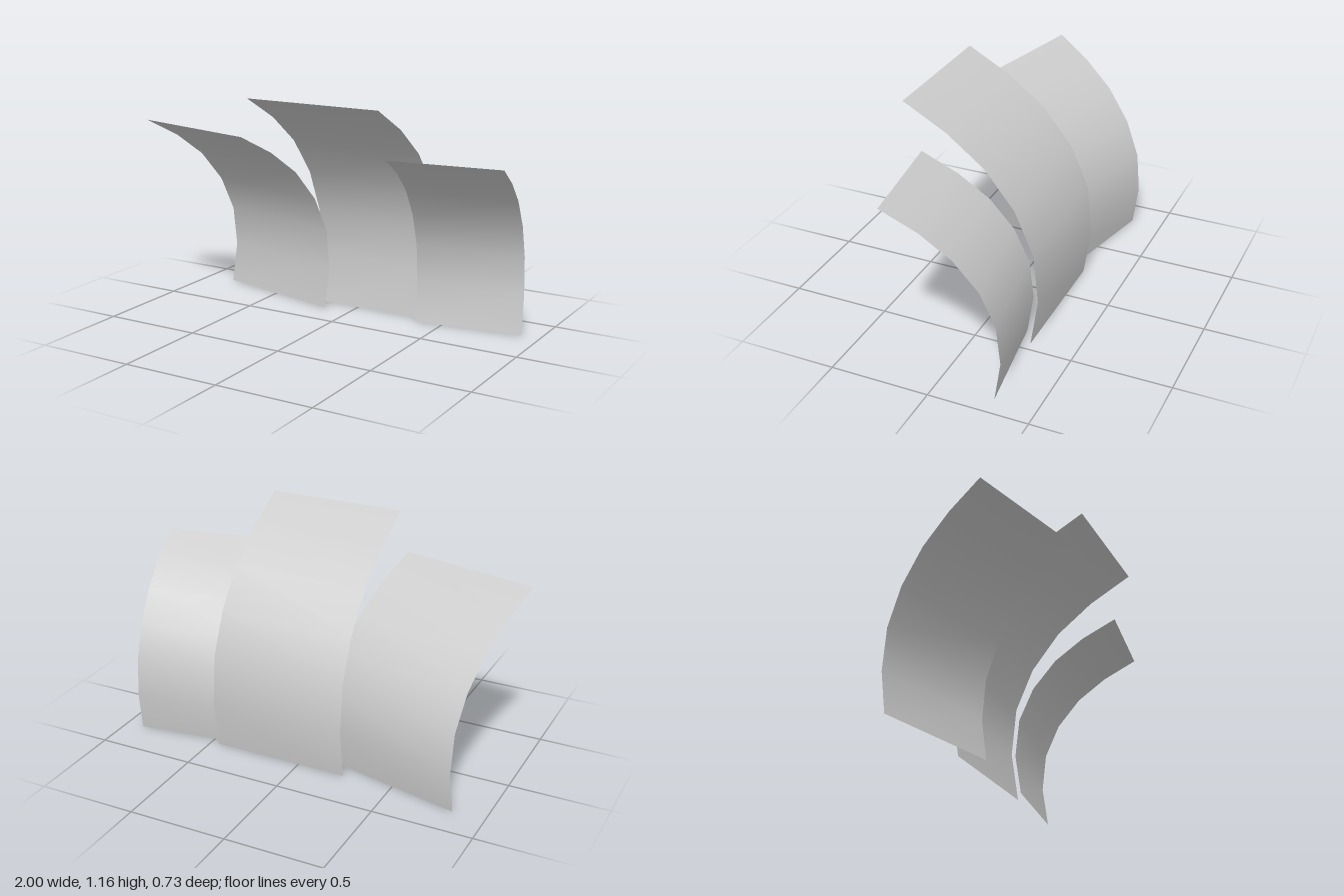
import * as THREE from 'three';

// Shared curl profile, bottom to top: [forward fraction, height fraction]
const PROFILE = [[0.055, 0], [0, 0.216], [0.037, 0.428], [0.176, 0.613], [0.398, 0.773], [0.676, 0.897], [1, 1]];

// Curled sheet: base is its rear left corner, width and depth are plan vectors [x, z]
function curvedPanel(name, base, width, depth, height, material) {
  const rows = PROFILE.length - 1;
  const geometry = new THREE.PlaneGeometry(1, 1, 1, rows);
  const pos = geometry.attributes.position;
  for (let i = 0; i < pos.count; i++) {
    const u = pos.getX(i) + 0.5;
    const [d, h] = PROFILE[Math.round((pos.getY(i) + 0.5) * rows)];
    pos.setXYZ(i,
      base[0] + u * width[0] + d * depth[0],
      h * height,
      base[1] + u * width[1] + d * depth[1]);
  }
  geometry.computeVertexNormals();
  const mesh = new THREE.Mesh(geometry, material);
  mesh.name = name;
  return mesh;
}

export function createModel() {
  const group = new THREE.Group();
  group.name = 'curvedPanels';
  const grey = new THREE.MeshStandardMaterial({ color: 0xcccccc, side: THREE.DoubleSide });
  grey.name = 'light grey';

  group.add(
    curvedPanel('centrePanel', [-0.245, -0.31], [0.7, 0], [0, 0.675], 1.165, grey),
    curvedPanel('rightPanel', [-0.83, -0.365], [0.695, 0.16], [-0.17, 0.54], 0.97, grey),
    curvedPanel('leftPanel', [0.355, -0.245], [0.545, -0.075], [0.095, 0.525], 0.925, grey),
  );
  return group;
}
